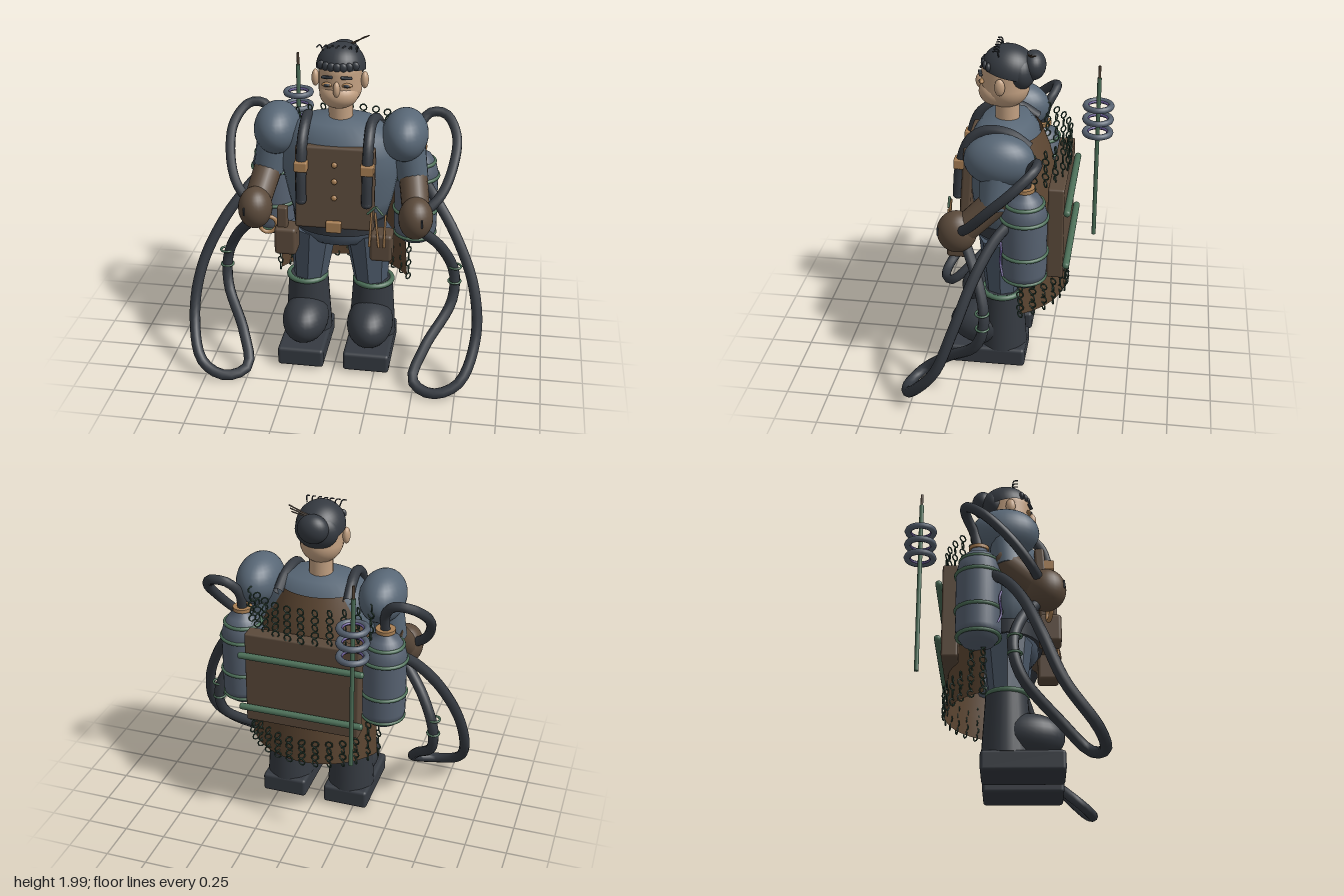
import * as THREE from 'three';
import { mergeGeometries } from 'three/addons/utils/BufferGeometryUtils.js';
import { RoundedBoxGeometry } from 'three/addons/geometries/RoundedBoxGeometry.js';

const V = (a) => new THREE.Vector3(...a);

export function createModel() {
  const root = new THREE.Group();
  root.name = 'tinkerer';
  const mat = (name, color, side = THREE.FrontSide) => {
    const m = new THREE.MeshStandardMaterial({ color, side });
    m.name = name;
    return m;
  };
  const cloth = mat('blue cloth', 0x586776);
  const steel = mat('tank steel', 0x566170);
  const dark = mat('dark rubber and hair', 0x353a41, THREE.DoubleSide);
  const navy = mat('navy trousers', 0x4b5868);
  const leather = mat('leather', 0x5b4a3b);
  const hide = mat('cape hide', 0x5c4632, THREE.DoubleSide);
  const skin = mat('skin', 0xc3a182);
  const brass = mat('brass', 0xa87f54);
  const green = mat('green metal', 0x4c6f58);
  const purple = mat('purple', 0x685a96);

  const add = (name, geo, material, p = [0, 0, 0], r = [0, 0, 0], s = [1, 1, 1]) => {
    const m = new THREE.Mesh(geo, material);
    m.name = name;
    m.position.set(...p);
    m.rotation.set(...r);
    m.scale.set(...s);
    root.add(m);
    return m;
  };
  const ball = (name, p, radii, material) =>
    add(name, new THREE.SphereGeometry(1, 28, 18), material, p, [0, 0, 0], radii);
  const block = (name, p, size, material, bevel = 0.015, r) =>
    add(name, new RoundedBoxGeometry(...size, 2, bevel), material, p, r);
  const ring = (name, p, radius, tube, material, r = [Math.PI / 2, 0, 0]) =>
    add(name, new THREE.TorusGeometry(radius, tube, 8, 28), material, p, r);
  // Tapered rod between two points
  const rod = (name, a, b, ra, rb, material, sides = 16) => {
    const from = V(a), to = V(b), d = to.clone().sub(from);
    const m = add(name, new THREE.CylinderGeometry(rb, ra, d.length(), sides), material);
    m.position.copy(from).addScaledVector(d, 0.5);
    m.quaternion.setFromUnitVectors(new THREE.Vector3(0, 1, 0), d.normalize());
    return m;
  };
  const tube = (name, pts, radius, material, segs = 30, sides = 10) =>
    add(name, new THREE.TubeGeometry(new THREE.CatmullRomCurve3(pts.map(V)), segs, radius, sides), material);
  const lathe = (pts) => new THREE.LatheGeometry(pts.map(([r, y]) => new THREE.Vector2(r, y)), 32);

  // Torso, hips and belt
  add('torso', lathe([[0, 0.9], [0.27, 0.9], [0.31, 1.05], [0.345, 1.22], [0.34, 1.35],
    [0.3, 1.46], [0.22, 1.54], [0, 1.56]]), cloth, [0, 0, 0.03], [0, 0, 0], [1, 1, 0.64]);
  add('hips', lathe([[0, 0.77], [0.2, 0.78], [0.26, 0.84], [0.26, 0.95]]), navy, [0, 0, 0.03], [0, 0, 0], [1, 1, 0.7]);
  add('belt', new THREE.CylinderGeometry(0.285, 0.275, 0.08, 32), dark, [0, 0.91, 0.03], [0, 0, 0], [1, 1, 0.75]);

  // Apron with buttons and buckle
  block('apron', [0, 1.19, 0.235], [0.46, 0.5, 0.06], leather, 0.015, [-0.07, 0, 0]);
  [1.34, 1.24, 1.14].forEach((y) => ball('apronButton', [0, y, 0.274 - (y - 1.19) * 0.07], [0.017, 0.017, 0.012], brass));
  block('buckle', [0, 0.965, 0.295], [0.09, 0.07, 0.03], brass, 0.008);

  for (const s of [-1, 1]) {
    // Legs and boots
    rod('trouserLeg', [s * 0.19, 0.47, 0.03], [s * 0.165, 0.84, 0.03], 0.1, 0.145, navy, 8);
    root.children.at(-1).geometry = root.children.at(-1).geometry.toNonIndexed();
    root.children.at(-1).geometry.computeVertexNormals();
    add('bootShaft', new THREE.CylinderGeometry(0.12, 0.145, 0.38, 24), dark, [s * 0.2, 0.32, 0.025]);
    ball('bootToe', [s * 0.2, 0.25, 0.14], [0.14, 0.14, 0.21], dark);
    block('bootSole', [s * 0.2, 0.08, 0.115], [0.28, 0.12, 0.47], dark, 0.02);
    ring('bootCuff', [s * 0.205, 0.5, 0.03], 0.113, 0.016, green);

    // Arms
    ball('shoulderPad', [s * 0.375, 1.455, 0.02], [0.135, 0.15, 0.2], cloth);
    rod('upperArm', [s * 0.39, 1.44, 0.02], [s * 0.43, 1.19, 0.04], 0.1, 0.09, cloth);
    rod('forearm', [s * 0.42, 1.25, 0], [s * 0.47, 1.04, 0.22], 0.085, 0.08, leather);
    ball('glove', [s * 0.47, 1.035, 0.25], [0.1, 0.125, 0.115], leather);
    block('gloveSlot', [s * 0.515, 1.05, 0.352], [0.01, 0.05, 0.012], dark, 0.003);

    // Harness straps
    tube('harnessStrap', [[s * 0.19, 1.12, 0.29], [s * 0.19, 1.3, 0.275], [s * 0.19, 1.47, 0.22],
      [s * 0.19, 1.54, 0.12], [s * 0.2, 1.53, -0.02], [s * 0.21, 1.46, -0.13]], 0.031, dark);
    ball('strapEnd', [s * 0.19, 1.12, 0.29], [0.031, 0.025, 0.031], dark);
    block('strapClasp', [s * 0.19, 1.33, 0.27], [0.075, 0.06, 0.075], brass, 0.008);

    // Belt pouches
    block('pouch', [s * 0.28, 0.865, 0.275], [0.13, 0.17, 0.13], leather, 0.02);

    // Side tanks
    const [tx, tz] = [s * 0.435, -0.13];
    add('tank', lathe([[0, 0.71], [0.09, 0.72], [0.125, 0.77], [0.13, 0.8], [0.13, 1.16], [0.115, 1.22],
      [0.085, 1.27], [0.05, 1.29], [0.05, 1.32], [0, 1.32]]), steel, [tx, 0, tz]);
    [[0.76, 0.122], [0.92, 0.131], [1.14, 0.131], [1.23, 0.108]].forEach(([y, r]) =>
      ring('tankBand', [tx, y, tz], r, 0.011, green));
    add('tankCap', new THREE.CylinderGeometry(0.058, 0.058, 0.022, 20), brass, [tx, 1.318, tz]);
    tube('tankWire', [[s * 0.49, 1.02, 0], [s * 0.52, 0.96, -0.01], [s * 0.5, 0.88, 0],
      [s * 0.54, 0.8, -0.02]], 0.007, purple, 16, 6);

    // Hoses: one from the tank cap to the hand, one sagging to the floor and back
    tube('upperHose', [[tx, 1.3, tz], [s * 0.44, 1.43, -0.16], [s * 0.5, 1.51, -0.205], [s * 0.59, 1.51, -0.2],
      [s * 0.665, 1.42, -0.1], [s * 0.66, 1.28, 0.04], [s * 0.6, 1.14, 0.16], [s * 0.49, 1.04, 0.24]], 0.029, dark);
    tube('lowerHose', [[s * 0.49, 1.13, -0.06], [s * 0.57, 1.05, 0.02], [s * 0.7, 0.87, 0.12],
      [s * 0.82, 0.6, 0.22], [s * 0.852, 0.32, 0.33], [s * 0.77, 0.1, 0.5], [s * 0.62, 0.04, 0.54],
      [s * 0.5, 0.07, 0.47], [s * 0.55, 0.21, 0.32], [s * 0.69, 0.42, 0.11], [s * 0.695, 0.6, 0.065],
      [s * 0.61, 0.79, 0.11], [s * 0.47, 0.95, 0.2]], 0.032, dark, 54);
    [0.545, 0.645].forEach((y) => ring('hoseClamp', [s * 0.7, y, 0.075], 0.036, 0.007, green));

    // Face details
    ball('ear', [s * 0.142, 1.785, 0.05], [0.022, 0.05, 0.03], skin);
    block('eyebrow', [s * 0.055, 1.832, 0.172], [0.065, 0.016, 0.02], dark, 0.006, [0, s * 0.25, s * -0.08]);
    ball('eyeSocket', [s * 0.056, 1.785, 0.162], [0.032, 0.014, 0.014], brass);
    ball('eye', [s * 0.056, 1.785, 0.171], [0.018, 0.009, 0.01], dark);
  }

  // Right pouch: pocket and hanging ring
  block('toolHolder', [-0.3, 1.005, 0.29], [0.06, 0.14, 0.05], leather, 0.01);
  ring('hangingRing', [-0.39, 0.94, 0.27], 0.05, 0.013, brass, [0, 0.2, 0]);
  // Left pouch: sticks and a pair of green tips
  [[0.215, 0.225], [0.27, 0.245], [0.3, 0.305]].forEach(([xa, xb], i) =>
    rod('stick', [xa, 0.88, 0.345], [xb, 1.1 - i * 0.01, 0.325], 0.007, 0.007, brass, 8));
  rod('greenTool', [0.2, 1.08, 0.33], [0.25, 1.13, 0.33], 0.007, 0.007, green, 8);
  rod('greenTool', [0.25, 1.13, 0.33], [0.29, 1.08, 0.33], 0.007, 0.007, green, 8);

  // Head
  add('neck', new THREE.CylinderGeometry(0.07, 0.07, 0.15, 20), skin, [0, 1.59, 0.025]);
  add('head', new THREE.CapsuleGeometry(0.125, 0.1, 10, 28), skin, [0, 1.79, 0.035], [0, 0, 0], [1, 1, 1.1]);
  ball('muzzle', [0, 1.71, 0.085], [0.112, 0.085, 0.105], skin);
  ball('nose', [0, 1.765, 0.182], [0.02, 0.045, 0.026], skin);

  // Hair, bun, wisps and pins
  add('hairCap', new THREE.SphereGeometry(1, 32, 14, 0, Math.PI * 2, 0, Math.PI * 0.52), dark,
    [0, 1.845, 0.015], [-0.22, 0, 0], [0.142, 0.143, 0.158]);
  ball('backHair', [0, 1.84, -0.055], [0.128, 0.11, 0.085], dark);
  ball('bun', [0, 1.875, -0.125], [0.09, 0.085, 0.07], dark);
  for (let i = 0; i < 7; i++) {
    const x = (i - 3) * 0.032;
    ball('fringeLock', [x, 1.885, 0.16 - x * x * 4.5], [0.024, 0.026, 0.016], dark);
    tube('hairWisp', [[x, 1.95, 0.06], [x * 1.1 - 0.004, 1.985, 0.07], [x * 1.15 - 0.016, 1.978, 0.095]], 0.004, dark, 8, 5);
  }
  for (let i = 0; i < 3; i++)
    rod('hairPin', [0.03, 1.93 + i * 0.006, -0.1], [0.115 + i * 0.015, 1.975 + i * 0.01, -0.15 + i * 0.02], 0.004, 0.004, leather, 6);

  // Cape: curved sheet leaning in towards the shoulders
  const R = 0.45, cz = 0.113, half = 1.08;
  const cape = new THREE.PlaneGeometry(2 * half, 1, 28, 8);
  const pos = cape.attributes.position;
  for (let i = 0; i < pos.count; i++) {
    const a = pos.getX(i), t = pos.getY(i) + 0.5;
    const r = R - 0.06 * t - 0.1 * t ** 4;
    pos.setXYZ(i, -Math.sin(a) * r, 0.45 + t * 1.03, cz - Math.cos(a) * r);
  }
  cape.computeVertexNormals();
  add('cape', cape, hide);

  // Chain links over the cape
  const links = [];
  for (let c = -6; c <= 6; c++) {
    const a = (c / 6) * half;
    for (let j = 0; j < 23; j++) {
      const y = 0.455 + j * 0.046;
      if (y > 0.62 && y < 1.24 && Math.abs(c) < 5) continue;
      links.push(new THREE.TorusGeometry(0.02, 0.0045, 5, 10)
        .rotateY(a + (j % 2 ? 0.5 : -0.2))
        .translate(Math.sin(a) * (R + 0.008), y, cz - Math.cos(a) * (R + 0.008)));
    }
  }
  add('chainLinks', mergeGeometries(links), mat('chain green', 0x2f4a3c));

  // Backpack with two rails
  block('backpack', [0, 0.98, -0.297], [0.69, 0.58, 0.095], leather, 0.012);
  [0.79, 1.135].forEach((y) => {
    rod('packRail', [-0.365, y, -0.363], [0.365, y, -0.363], 0.02, 0.02, green);
    [-1, 1].forEach((s) => ball('railEnd', [s * 0.365, y, -0.363], [0.015, 0.02, 0.02], green));
  });

  // Antenna with three coils
  const [ax, az] = [-0.345, -0.478];
  rod('antennaPole', [ax, 0.6, az], [ax, 1.67, az], 0.013, 0.013, green, 12);
  rod('antennaTip', [ax, 1.66, az], [ax, 1.745, az], 0.008, 0.008, leather, 10);
  [1.315, 1.402, 1.49].forEach((y) => {
    ring('coil', [ax, y, az], 0.077, 0.019, steel);
    ring('coilLiner', [ax, y, az], 0.06, 0.007, purple);
  });
  return root;
}
